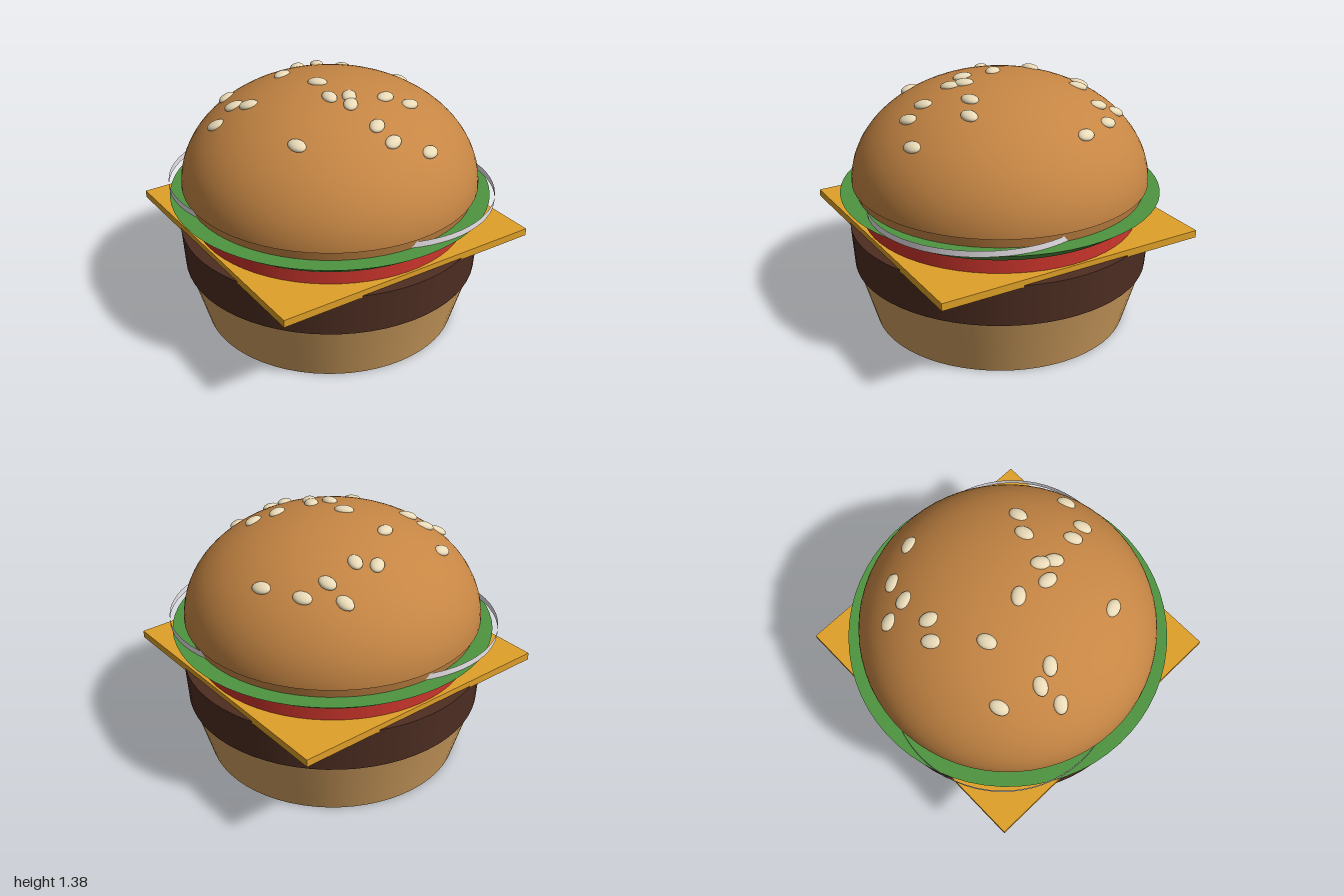
import * as THREE from 'three';

const SEG = 64;
const DOME = { y: 0.8, r: 0.8, h: 0.565 };

function mesh(name, geometry, color, doubleSide = false) {
  const m = new THREE.Mesh(geometry, new THREE.MeshStandardMaterial({ color }));
  if (doubleSide) m.material.side = THREE.DoubleSide;
  m.name = name;
  return m;
}

// Round layer between two heights
function layer(name, rTop, rBottom, y0, y1, color, open = false) {
  const m = mesh(name, new THREE.CylinderGeometry(rTop, rBottom, y1 - y0, SEG, 1, open), color, open);
  m.position.y = (y0 + y1) / 2;
  return m;
}

export function createModel() {
  const group = new THREE.Group();
  group.name = 'hamburger';

  // Stacked round layers
  group.add(
    layer('bottomBun', 0.795, 0.7, 0, 0.335, 0xd2a060),
    layer('patty', 0.82, 0.805, 0.33, 0.56, 0x4e2e22),
    layer('tomato', 0.745, 0.745, 0.56, 0.68, 0xcc352c),
    layer('lettuce', 0.865, 0.77, 0.675, 0.745, 0x4f9440),
    layer('topBunRim', 0.797, 0.775, 0.745, 0.835, 0xc68644)
  );

  // Square cheese slice, turned so its corners hang out
  const cheese = mesh('cheese', new THREE.BoxGeometry(1.515, 0.04, 1.515), 0xdfa028);
  cheese.position.y = 0.57;
  cheese.rotation.y = 0.418;
  group.add(cheese);

  // Two onion rings pushed out to opposite sides
  for (const s of [1, -1]) {
    const onion = layer('onionRing', 0.597, 0.597, 0.747, 0.78, 0xe9e4ea, true);
    onion.position.x = s * 0.268;
    onion.position.z = s * 0.125;
    group.add(onion);
  }

  // Domed top bun
  const domeGeometry = new THREE.SphereGeometry(1, SEG, 24, 0, Math.PI * 2, 0, Math.PI / 2);
  domeGeometry.scale(DOME.r, DOME.h, DOME.r);
  const dome = mesh('topBun', domeGeometry, 0xc68644, true);
  dome.position.y = DOME.y;
  group.add(dome);

  // Sesame seeds: x, z, heading in degrees
  const seeds = [
    [0.095, -0.6, 60], [-0.11, -0.44, -65], [-0.005, -0.415, 90], [0.155, -0.495, 60],
    [0.285, -0.52, 45], [0.455, -0.375, 45], [-0.52, -0.235, -40], [-0.225, -0.19, -45],
    [-0.5, -0.015, 0], [-0.6, 0.055, 10], [-0.43, 0.06, 15], [-0.07, 0.03, 25],
    [-0.035, 0.195, 75], [0.065, 0.195, -75], [0.06, 0.265, -75], [0.255, 0.18, -40],
    [0.38, 0.195, -35], [0.165, 0.41, -60], [0.23, 0.49, -50], [0.42, 0.48, -45],
    [-0.24, 0.47, 50]
  ];
  const seedGeometry = new THREE.SphereGeometry(1, 16, 10);
  seedGeometry.scale(0.052, 0.022, 0.037);
  const up = new THREE.Vector3(0, 1, 0);
  const seedGroup = new THREE.Group();
  seedGroup.name = 'sesameSeeds';
  for (const [x, z, deg] of seeds) {
    const rise = DOME.h * Math.sqrt(1 - (x * x + z * z) / DOME.r ** 2);
    const normal = new THREE.Vector3(x / DOME.r ** 2, rise / DOME.h ** 2, z / DOME.r ** 2).normalize();
    const tilt = new THREE.Quaternion().slerp(new THREE.Quaternion().setFromUnitVectors(up, normal), 0.6);
    const seed = mesh('seed', seedGeometry, 0xeadbb8);
    seed.position.set(x, DOME.y + rise, z);
    seed.quaternion.setFromAxisAngle(up, -THREE.MathUtils.degToRad(deg)).premultiply(tilt);
    seedGroup.add(seed);
  }
  group.add(seedGroup);

  return group;
}
